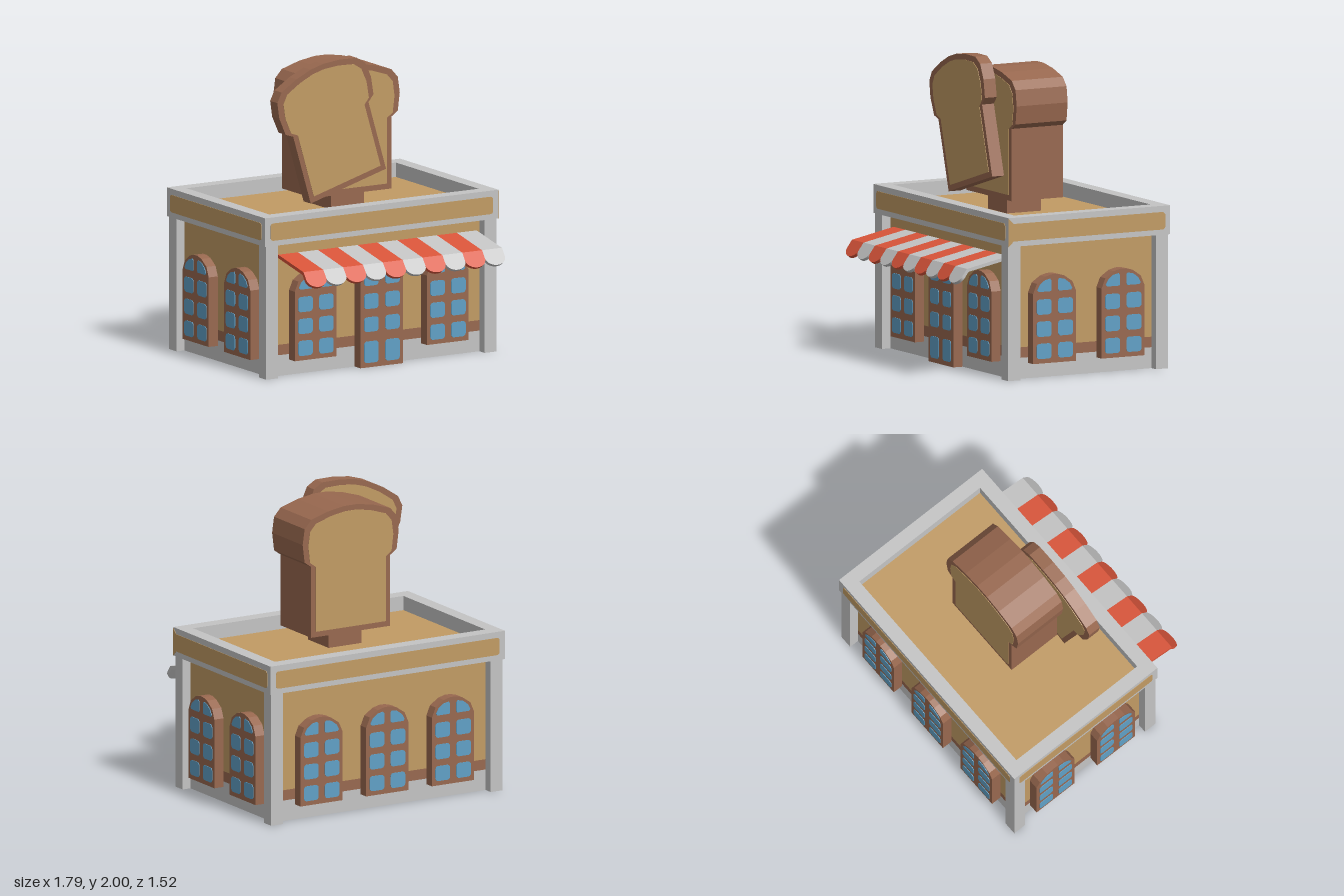
import * as THREE from 'three';

const mat = (name, color) => {
  const m = new THREE.MeshStandardMaterial({ color });
  m.name = name;
  return m;
};

export function createModel() {
  const model = new THREE.Group();
  model.name = 'bakery';
  const stone = mat('stoneGrey', 0xc4c4c4);
  const tan = mat('crumbTan', 0xc19b64);
  const brown = mat('crustBrown', 0x98684f);
  const glass = mat('glassBlue', 0x60a0c6);
  const red = mat('awningRed', 0xd9553a);

  const add = (parent, name, geo, m, x = 0, y = 0, z = 0) => {
    const mesh = new THREE.Mesh(geo, m);
    mesh.name = name;
    mesh.position.set(x, y, z);
    parent.add(mesh);
    return mesh;
  };
  const block = (name, m, x0, x1, y0, y1, z0, z1) => add(model, name,
    new THREE.BoxGeometry(x1 - x0, y1 - y0, z1 - z0), m, (x0 + x1) / 2, (y0 + y1) / 2, (z0 + z1) / 2);
  const poly = pts => new THREE.Shape(pts.map(p => new THREE.Vector2(p[0], p[1])));
  const extrude = (shape, depth, curveSegments = 4) =>
    new THREE.ExtrudeGeometry(shape, { depth, bevelEnabled: false, curveSegments });
  const roundRect = (x0, x1, y0, y1, r) => {
    const s = new THREE.Shape();
    s.absarc(x1 - r, y0 + r, r, -Math.PI / 2, 0);
    s.absarc(x1 - r, y1 - r, r, 0, Math.PI / 2);
    s.absarc(x0 + r, y1 - r, r, Math.PI / 2, Math.PI);
    s.absarc(x0 + r, y0 + r, r, Math.PI, Math.PI * 1.5);
    return s;
  };

  // Thin walls in three bands, open underneath
  const WX = 0.82, ZF = 0.38, ZB = -0.68, T = 0.01;
  for (const [name, m, y0, y1] of [['wallBase', stone, 0, 0.137], ['wallStripe', brown, 0.137, 0.206], ['wall', tan, 0.206, 0.97]]) {
    block(name + 'Front', m, -WX, WX, y0, y1, ZF - T, ZF);
    block(name + 'Back', m, -WX, WX, y0, y1, ZB, ZB + T);
    for (const s of [-1, 1]) {
      const x = s * (WX - T / 2);
      block(name + 'Side', m, x - T / 2, x + T / 2, y0, y1, ZB + T, ZF - T);
    }
  }

  // Corner pillars
  for (const x of [-0.88, 0.79])
    for (const z of [-0.745, 0.355]) block('pillar', stone, x, x + 0.09, 0, 0.88, z, z + 0.09);

  // Roof deck and parapet ring
  block('roof', tan, -0.81, 0.81, 0.96, 0.975, -0.67, 0.365);
  const CZ = -0.1525;
  const ring = poly([[-0.892, -0.6025], [0.892, -0.6025], [0.892, 0.6025], [-0.892, 0.6025]]);
  ring.holes.push(poly([[-0.8, -0.508], [-0.8, 0.508], [0.8, 0.508], [0.8, -0.508]]));
  add(model, 'parapet', extrude(ring, 0.19).rotateX(-Math.PI / 2), stone, 0, 0.88, CZ);

  // Inset-looking panels on the parapet
  const longPanel = extrude(roundRect(-0.85, 0.85, 0.915, 1.03, 0.02), 0.003);
  add(model, 'frontPanel', longPanel, tan, 0, 0, 0.45);
  add(model, 'backPanel', longPanel, tan, 0, 0, -0.755).rotation.y = Math.PI;
  const sidePanel = extrude(roundRect(-0.56, 0.56, 0.915, 1.03, 0.02), 0.003);
  add(model, 'sidePanel', sidePanel, tan, -0.892, 0, CZ).rotation.y = -Math.PI / 2;
  // the left panel flares out to meet the front corner
  const flared = poly([[-0.6025, 0.88], [-0.565, 0.915], [0.55, 0.915], [0.565, 0.93],
    [0.565, 1.015], [0.55, 1.03], [-0.565, 1.03], [-0.6025, 1.065]]);
  add(model, 'sidePanel', extrude(flared, 0.003), tan, 0.892, 0, CZ).rotation.y = Math.PI / 2;

  // Arched windows
  const D = 0.07;
  const mirrorPts = half => [...half, ...half.slice().reverse().map(([x, y]) => [-x, y])];
  const frameGeo = extrude(poly(mirrorPts([[0.16, 0.1], [0.16, 0.56], [0.132, 0.625], [0.07, 0.667], [0.02, 0.68]])), D);
  const panes = [];
  for (const s of [-1, 1]) {
    for (const y of [0.13, 0.275, 0.42])
      panes.push(roundRect(s < 0 ? -0.135 : 0.024, s < 0 ? -0.024 : 0.135, y, y + 0.1, 0.022));
    panes.push(poly([[0.03, 0.57], [0.12, 0.57], [0.13, 0.582], [0.112, 0.615], [0.075, 0.643], [0.035, 0.652], [0.024, 0.64], [0.024, 0.58]]
      .map(([x, y]) => [s * x, y])));
  }
  const paneGeo = extrude(panes, 0.004);
  const windowAt = (x, z, turn) => {
    const g = new THREE.Group();
    g.name = 'archedWindow';
    add(g, 'windowFrame', frameGeo, brown);
    add(g, 'windowPanes', paneGeo, glass, 0, 0, D);
    g.position.set(x, 0, z);
    g.rotation.y = turn;
    model.add(g);
  };
  for (const x of [-0.505, 0.505]) windowAt(x, ZF, 0);
  for (const x of [-0.5, 0, 0.5]) windowAt(x, ZB, Math.PI);
  for (const s of [-1, 1])
    for (const z of [0.105, -0.405]) windowAt(s * WX, z, s * Math.PI / 2);

  // Double door
  block('door', brown, -0.163, 0.163, 0, 0.7, ZF, ZF + D);
  const doorPanes = [];
  for (const [y0, y1] of [[0.03, 0.172], [0.235, 0.332], [0.387, 0.487], [0.54, 0.64]])
    for (const x of [-0.136, 0.026]) doorPanes.push(roundRect(x, x + 0.11, y0, y1, 0.022));
  add(model, 'doorPanes', extrude(doorPanes, 0.004), glass, 0, 0, ZF + D);

  // Striped awning with a scalloped valance
  const awning = new THREE.Group();
  awning.name = 'awning';
  model.add(awning);
  const W = 0.1517;
  const scallop = new THREE.Shape();
  scallop.moveTo(W / 2, 0);
  scallop.lineTo(-W / 2, 0);
  scallop.lineTo(-W / 2, -0.06);
  scallop.absellipse(0, -0.06, W / 2, 0.056, Math.PI, Math.PI * 2, false);
  const scallopGeo = extrude(scallop, 0.022, 10).translate(0, 0, -0.022);
  const slopeGeo = new THREE.BoxGeometry(W, 0.022, 0.325);
  for (let i = 0; i < 10; i++) {
    const m = i % 2 ? stone : red, x = -0.748 + W * (i + 0.5);
    add(awning, 'awningStripe', slopeGeo, m, x, 0.761, 0.528).rotation.x = 0.2;
    add(awning, 'awningScallop', scallopGeo, m, x, 0.74, 0.69).rotation.x = -0.635;
  }

  // Bread loaf and leaning slice share one profile
  const breadPts = mirrorPts([[0.3, 0], [0.3, 0.475], [0.35, 0.51], [0.365, 0.63], [0.35, 0.735],
    [0.3, 0.79], [0.17, 0.83], [0.05, 0.85]]);
  const crumbGeo = extrude(poly(breadPts.map(([x, y]) => [x * 0.885, 0.43 + (y - 0.43) * 0.915])), 0.003);
  const bread = (name, depth, x, y, z, tilt) => {
    const g = new THREE.Group();
    g.name = name;
    add(g, 'crust', extrude(poly(breadPts), depth), brown);
    add(g, 'frontCrumb', crumbGeo, tan, 0, 0, depth);
    add(g, 'backCrumb', crumbGeo, tan, 0, 0, -0.003);
    g.position.set(x, y, z);
    g.rotation.z = tilt;
    model.add(g);
  };
  bread('loaf', 0.38, -0.003, 1.08, -0.29, 0);
  bread('slice', 0.088, -0.0875, 1.152, 0.093, 0.286);
  block('loafStand', brown, -0.125, 0.125, 0.97, 1.08, -0.225, 0.03);

  return model;
}
